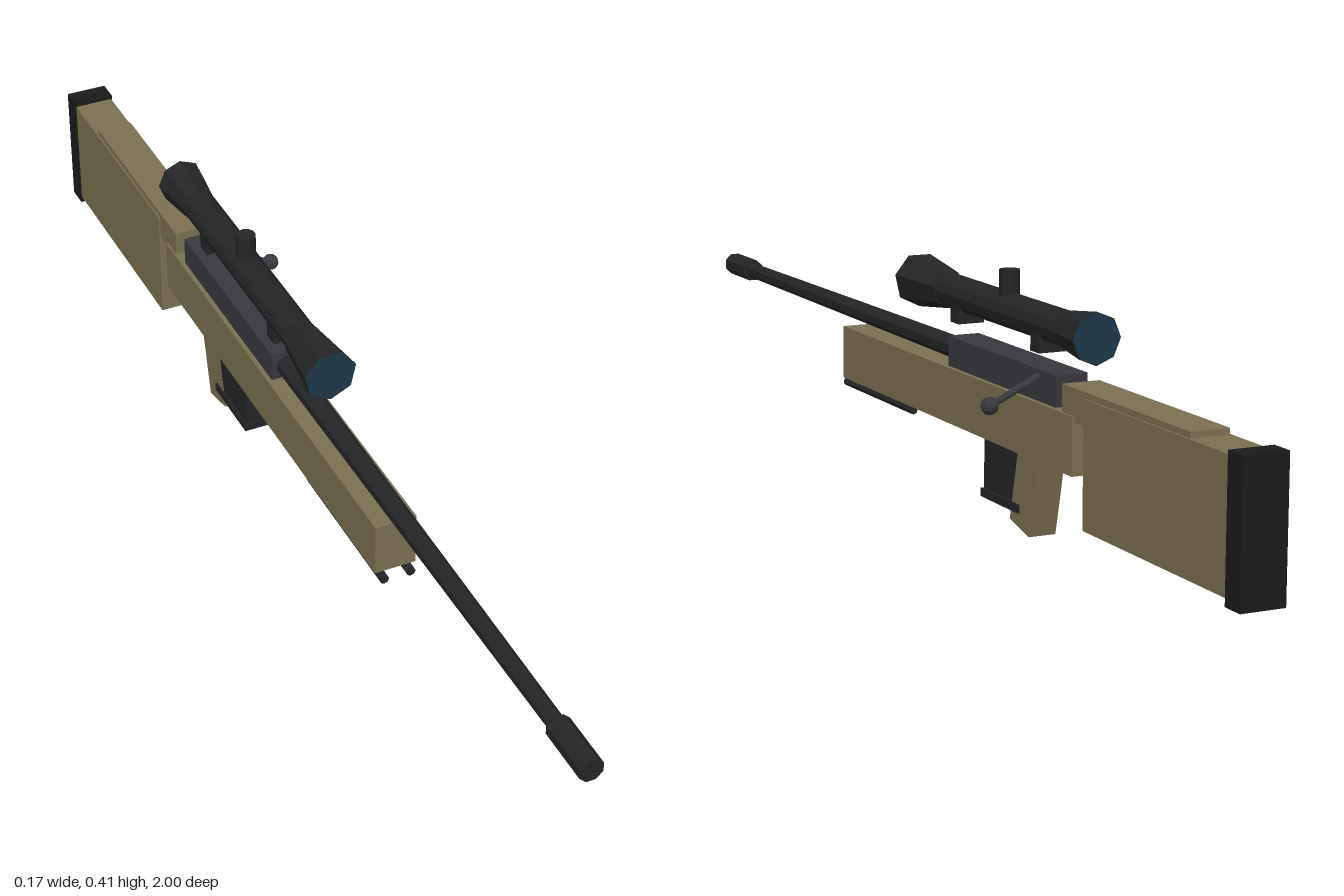
import * as THREE from 'three';

const CX = -0.04; // centre line of the rifle
const mat = (color) => new THREE.MeshStandardMaterial({ color, flatShading: true });

export function createModel() {
  const rifle = new THREE.Group();
  rifle.name = 'rifle';
  const tan = mat(0x7d7052), black = mat(0x232527), steel = mat(0x38393d);
  const rubber = mat(0x1a1b1a), glass = mat(0x1d3848);

  const add = (name, geometry, material) => {
    const mesh = new THREE.Mesh(geometry, material);
    mesh.name = name;
    rifle.add(mesh);
    return mesh;
  };
  // Box on the centre line, given by its width and its y and z ranges
  const box = (name, w, y0, y1, z0, z1, material) =>
    add(name, new THREE.BoxGeometry(w, y1 - y0, z1 - z0), material)
      .position.set(CX, (y0 + y1) / 2, (z0 + z1) / 2);
  // Round part along z, from z0 (radius r0) to z1 (radius r1)
  const rod = (name, x, y, z0, z1, r0, r1, sides, material, start = 0) => {
    const g = new THREE.CylinderGeometry(r1, r0, z1 - z0, sides, 1, false, start);
    g.rotateX(Math.PI / 2);
    add(name, g, material).position.set(x, y, (z0 + z1) / 2);
  };

  // Stock
  box('foreStock', 0.072, 0.135, 0.229, -0.505, 0.37, tan);
  box('buttStock', 0.071, 0.058, 0.263, -0.965, -0.54, tan);
  box('cheekRest', 0.065, 0.22, 0.273, -0.85, -0.465, tan);
  box('buttPad', 0.075, 0.046, 0.27, -1, -0.96, rubber);

  // Action and barrel
  box('receiver', 0.056, 0.226, 0.28, -0.435, -0.052, steel);
  rod('barrel', CX, 0.253, -0.06, 0.91, 0.019, 0.014, 8, black, Math.PI / 8);
  rod('muzzleBrake', CX, 0.253, 0.9, 1, 0.021, 0.021, 8, black, Math.PI / 8);

  // Folded bipod legs under the fore-stock
  for (const side of [-1, 1])
    rod('bipodLeg', CX + side * 0.0235, 0.125, 0.096, 0.38, 0.008, 0.008, 8, black);

  // Magazine with a wider floor plate, and the raked grip behind it
  box('magazine', 0.046, 0.04, 0.14, -0.295, -0.178, black);
  box('magazineFloorPlate', 0.055, 0.032, 0.046, -0.308, -0.174, black);
  const grip = add('grip', new THREE.BoxGeometry(0.048, 0.16, 0.069), tan);
  grip.position.set(CX, 0.086, -0.325);
  grip.rotation.x = -0.23;

  // Bolt handle reaching out to its knob
  const root = new THREE.Vector3(-0.022, 0.272, -0.375);
  const tip = new THREE.Vector3(0.072, 0.228, -0.375);
  const dir = tip.clone().sub(root);
  const handle = add('boltHandle', new THREE.CylinderGeometry(0.006, 0.006, dir.length(), 8), steel);
  handle.position.copy(root).lerp(tip, 0.5);
  handle.quaternion.setFromUnitVectors(new THREE.Vector3(0, 1, 0), dir.normalize());
  add('boltKnob', new THREE.SphereGeometry(0.0145, 10, 8), steel).position.copy(tip);

  // Scope with flared ends, lenses, turret and mounts
  const SY = 0.348;
  rod('scopeTube', CX, SY, -0.45, 0.02, 0.029, 0.029, 12, black);
  rod('scopeObjective', CX, SY, 0, 0.122, 0.032, 0.047, 7, black);
  rod('scopeEyepiece', CX, SY, -0.514, -0.43, 0.042, 0.031, 8, black);
  rod('frontLens', CX, SY, 0.115, 0.1235, 0.046, 0.046, 7, glass);
  rod('rearLens', CX, SY, -0.5155, -0.51, 0.041, 0.041, 8, glass);
  add('scopeTurret', new THREE.CylinderGeometry(0.017, 0.017, 0.06, 10), black)
    .position.set(CX, 0.384, -0.22);
  for (const z of [-0.066, -0.355])
    box('scopeMount', 0.047, 0.303, 0.335, z - 0.015, z + 0.015, black);

  return rifle;
}
